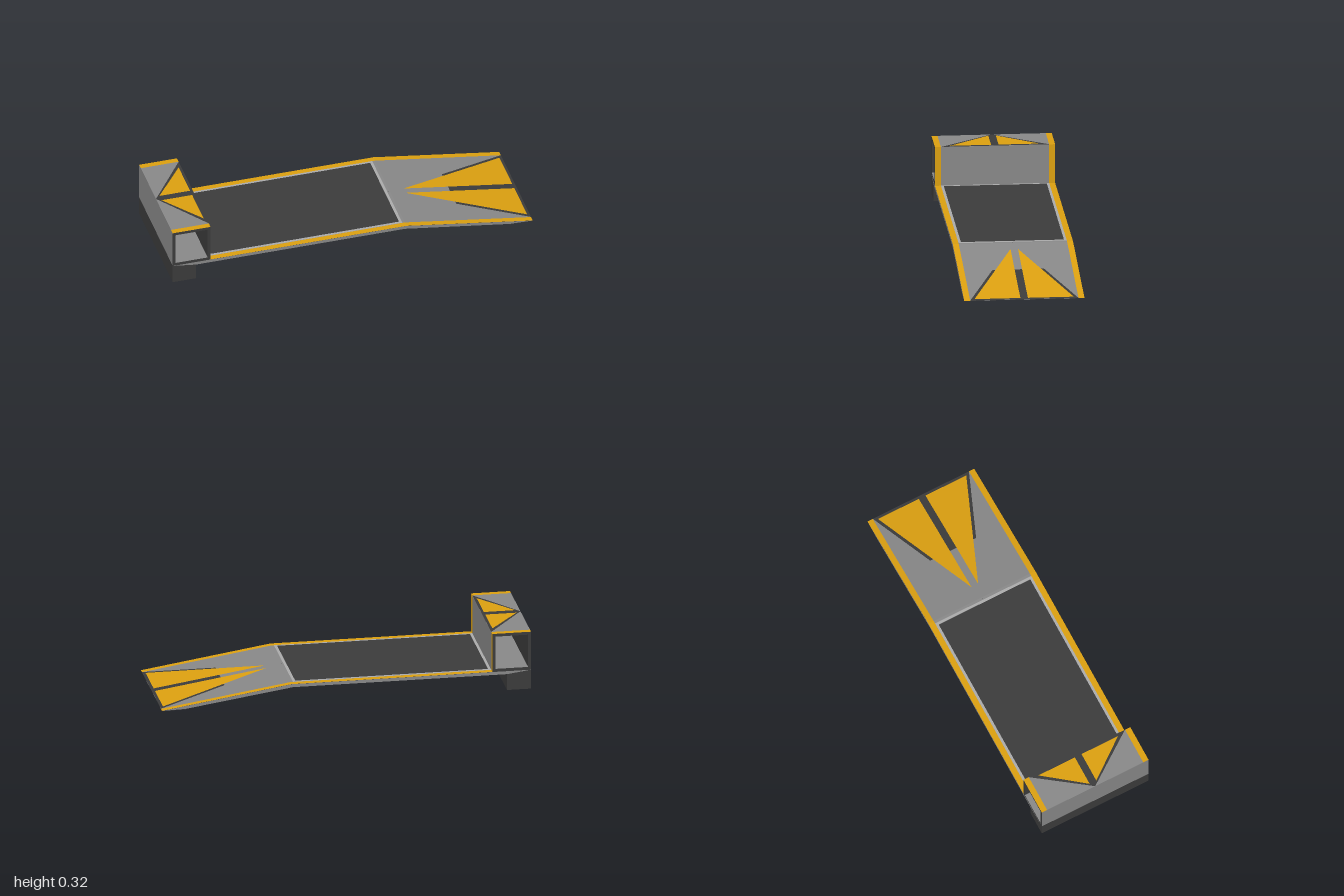
import * as THREE from 'three';

const GREY = 0x888888, DARK = 0x3b3b3b, LIGHT = 0xaaaaaa, YELLOW = 0xdca010;
const W = 0.322;      // half width
const EDGE = 0.29;    // inner edge of the yellow stripes
const TOP = 0.323, DECK = 0.107, LEFT = -1, BEAM = -0.79, BEND = 0.3;

const mat = (color) => new THREE.MeshStandardMaterial({ color, side: THREE.DoubleSide, flatShading: true });

// Height of the deck surface at x
const deckY = (x) => (x < BEND ? DECK : DECK * (1 - x) / (1 - BEND));

// Profile in x/y swept across the full width
function sweep(name, profile, capColor, sideColor, hole, half = W) {
  const shape = new THREE.Shape(profile.map((p) => new THREE.Vector2(...p)));
  if (hole) shape.holes.push(new THREE.Path(hole.map((p) => new THREE.Vector2(...p))));
  const geo = new THREE.ExtrudeGeometry(shape, { depth: 2 * half, bevelEnabled: false });
  geo.translate(0, 0, -half);
  const mesh = new THREE.Mesh(geo, [mat(capColor), mat(sideColor)]);
  mesh.name = name;
  return mesh;
}

// Flat convex polygon given as 3D corners
function panel(name, color, corners) {
  const index = [];
  for (let i = 1; i < corners.length - 1; i++) index.push(0, i, i + 1);
  const geo = new THREE.BufferGeometry();
  geo.setAttribute('position', new THREE.Float32BufferAttribute(corners.flat(), 3));
  geo.setIndex(index);
  geo.computeVertexNormals();
  const mesh = new THREE.Mesh(geo, mat(color));
  mesh.name = name;
  return mesh;
}

// Polygon in x/z painted on a surface with height y(x)
const paint = (name, color, y, lift, pts) =>
  panel(name, color, pts.map(([x, z]) => [x, y(x) + lift, z]));

const rect = (x0, x1, z0, z1) => [[x0, z1], [x1, z1], [x1, z0], [x0, z0]];

// Dark arrow with two yellow halves, apex towards -x
function arrow(name, y, apex, base, inner, innerBase, innerZ) {
  const g = new THREE.Group();
  g.name = name;
  g.add(paint('arrowBorder', DARK, y, 0.0016, [[apex, 0], [base, EDGE], [base, -EDGE]]));
  for (const s of [1, -1]) {
    g.add(paint('arrowHalf', YELLOW, y, 0.0024,
      [[inner, s * 0.02], [innerBase, s * innerZ], [innerBase, s * 0.02]]));
  }
  return g;
}

export function createModel() {
  const model = new THREE.Group();

  // Deck slab with the ramp, dark underneath
  model.add(sweep('deck', [[LEFT, DECK], [BEND, DECK], [1, 0], [0.87, 0.004], [0.29, 0.09], [-0.87, 0.09]], GREY, DARK));
  model.add(sweep('rampFoot', [[0.87, 0], [1, 0], [0.87, 0.004]], DARK, DARK));
  model.add(sweep('rearLeg', [[LEFT, 0], [-0.87, 0], [-0.87, 0.09], [LEFT, DECK]], DARK, DARK));

  // Deck surface, side stripes and framed mat
  for (const [x0, x1, part] of [[BEAM, BEND, 'deck'], [BEND, 1, 'ramp']]) {
    model.add(paint(part + 'Surface', GREY, deckY, 0.0008, rect(x0, x1, -EDGE, EDGE)));
    for (const s of [1, -1]) {
      model.add(paint(part + 'Stripe', YELLOW, deckY, 0.0008, rect(x0, x1, s * EDGE, s * W)));
    }
  }
  model.add(paint('matFrame', LIGHT, deckY, 0.0016, rect(BEAM, 0.285, -EDGE, EDGE)));
  model.add(paint('mat', DARK, deckY, 0.0024, rect(-0.775, 0.27, -0.276, 0.276)));
  model.add(arrow('rampArrow', deckY, 0.29, 1, 0.38, 0.985, 0.266));

  // Hollow cross beam
  const t = 0.016, e = 0.001;
  const box = (d) => [[LEFT + d, DECK + d], [BEAM - d, DECK + d], [BEAM - d, TOP - d], [LEFT + d, TOP - d]];
  model.add(sweep('crossBeam', box(e), DARK, DARK, box(t)));
  model.add(paint('beamFloor', GREY, () => DECK + t, e, rect(LEFT + t, BEAM - t, -W, W)));

  // Beam cladding: outer wall, inner wall and top
  const beamY = () => TOP - e;
  const wall = (x, z0, z1) => [[x, DECK, z0], [x, DECK, z1], [x, TOP, z1], [x, TOP, z0]];
  model.add(panel('beamOuterWall', GREY, wall(LEFT, -W, W)));
  model.add(panel('beamInnerWall', GREY, wall(BEAM, -EDGE, EDGE)));
  model.add(paint('beamTop', GREY, beamY, e, rect(LEFT, BEAM, -EDGE, EDGE)));
  for (const s of [1, -1]) {
    model.add(panel('beamWallStripe', YELLOW, wall(BEAM, s * EDGE, s * W)));
    model.add(paint('beamTopStripe', YELLOW, beamY, e, rect(LEFT, BEAM, s * EDGE, s * W)));
  }
  model.add(arrow('beamArrow', beamY, LEFT, BEAM, -0.975, -0.805, 0.24));

  return model;
}
